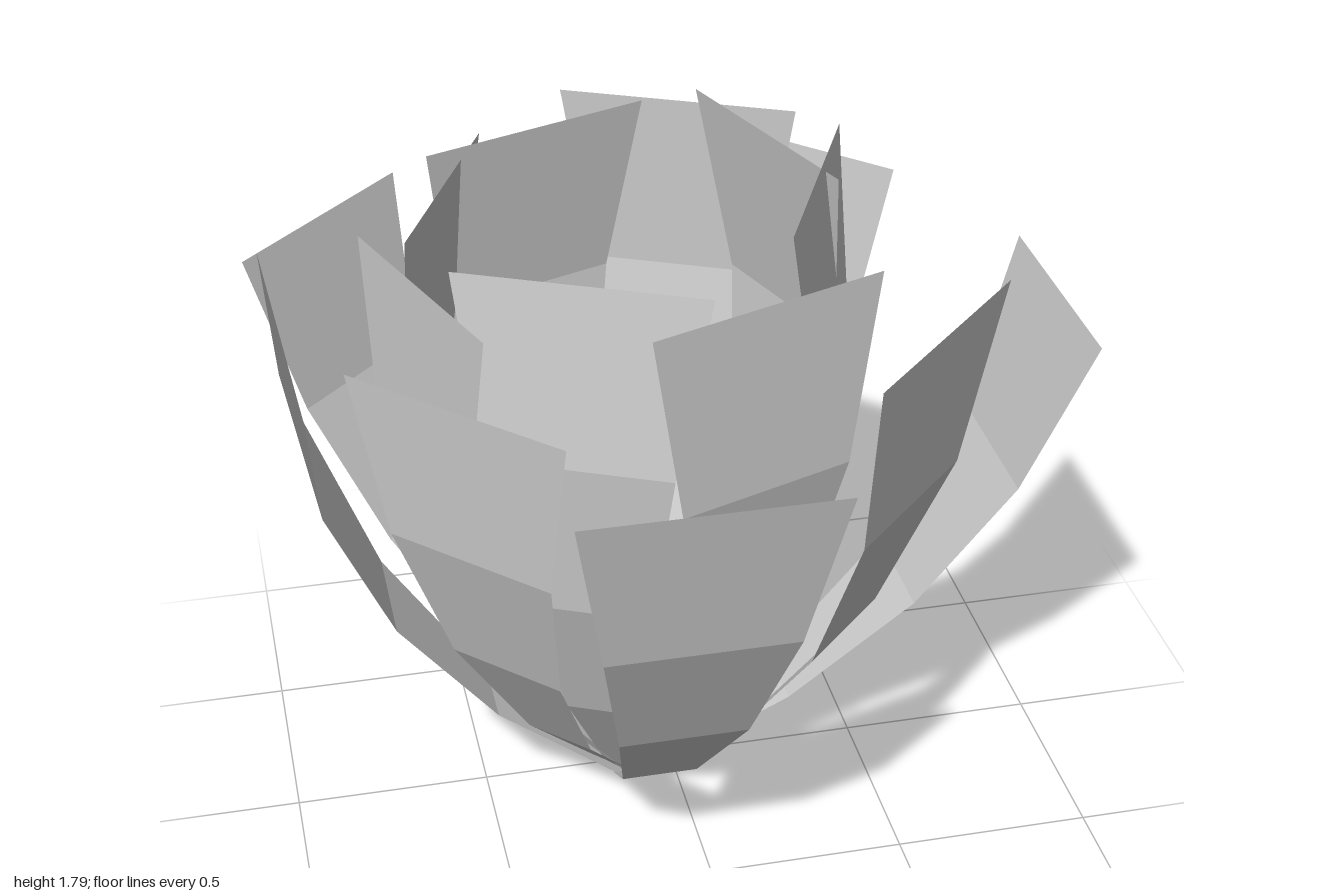
import * as THREE from 'three';

const ROWS = 4;
const BASE_RADIUS = 0.02;
const BASE_HALF_WIDTH = 0.05;
const TIP_HALF_WIDTH = 0.305;
const BULGE = 0.12; // outward bow, relative to petal length

const material = new THREE.MeshStandardMaterial({
  color: 0xcccccc, flatShading: true, side: THREE.DoubleSide,
});

// A thin tapered strip that leans out to its tip and bows outward midway
function makePetal(name, degrees, tipRadius, tipHeight) {
  const geometry = new THREE.PlaneGeometry(2, 1, 1, ROWS);
  const position = geometry.attributes.position;
  const reach = tipRadius - BASE_RADIUS;
  for (let i = 0; i < position.count; i++) {
    const t = position.getY(i) + 0.5;
    const bow = BULGE * 4 * t * (1 - t);
    const halfWidth = BASE_HALF_WIDTH + (TIP_HALF_WIDTH - BASE_HALF_WIDTH) * Math.pow(t, 1.25);
    position.setXYZ(
      i,
      Math.sign(position.getX(i)) * halfWidth,
      t * tipHeight - bow * reach,
      BASE_RADIUS + t * reach + bow * tipHeight,
    );
  }
  geometry.computeVertexNormals();
  const petal = new THREE.Mesh(geometry, material);
  petal.name = name;
  petal.rotation.y = THREE.MathUtils.degToRad(degrees);
  return petal;
}

// Eight petals evenly spaced around the base; each tip is [radius, height]
function makeRing(name, petalName, startDegrees, tips) {
  const ring = new THREE.Group();
  ring.name = name;
  tips.forEach(([radius, height], i) => {
    ring.add(makePetal(petalName + (i + 1), startDegrees + (i * 360) / tips.length, radius, height));
  });
  return ring;
}

export function createModel() {
  const flower = new THREE.Group();
  flower.name = 'flower';

  // Open outer petals, starting at the front and turning toward +x
  flower.add(makeRing('outerPetals', 'outerPetal', 0, [
    [0.965, 1.42], [1.105, 1.32], [0.863, 1.585], [0.775, 1.53],
    [1.03, 1.31], [0.942, 1.39], [0.85, 1.49], [0.692, 1.455],
  ].map((tip, i, all) => all[[0, 2, 1, 3, 4, 5, 6, 7][i]])));

  // Steeper inner petals, set between the outer ones
  flower.add(makeRing('innerPetals', 'innerPetal', 20, [
    [0.612, 1.685], [0.456, 1.79], [0.396, 1.76], [0.57, 1.69],
    [0.413, 1.71], [0.443, 1.675], [0.549, 1.61], [0.417, 1.675],
  ]));

  flower.position.set(-0.115, 0, 0.03);
  const model = new THREE.Group();
  model.name = 'model';
  model.add(flower);
  return model;
}
